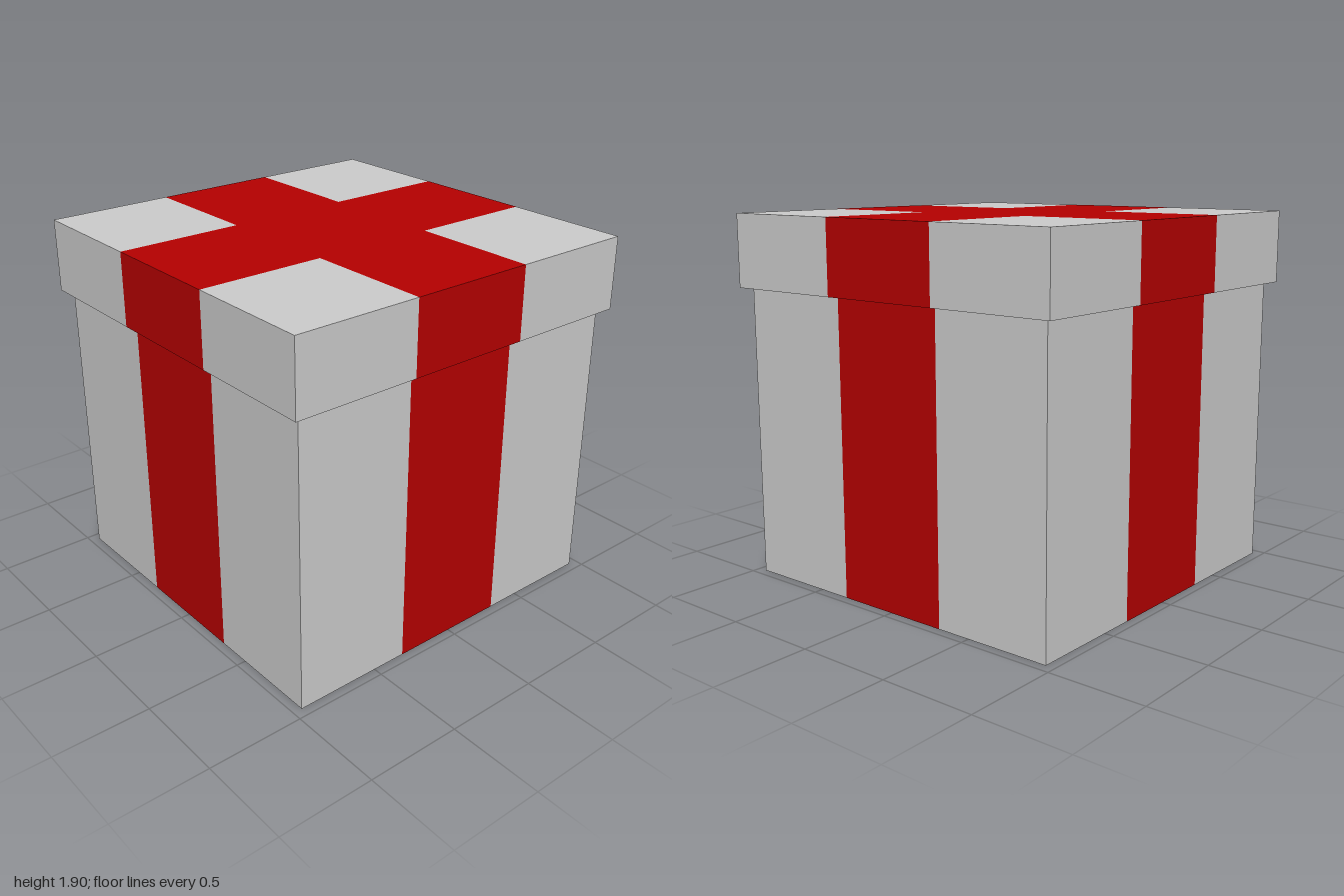
import * as THREE from 'three';

const paper = new THREE.MeshStandardMaterial({ color: 0xcccccc });
paper.name = 'greyPaper';
const ribbon = new THREE.MeshStandardMaterial({ color: 0xb50000 });
ribbon.name = 'redRibbon';

// Box split into equal thirds, with the middle third of each direction in ribbon colour
function wrappedBox(name, width, bottom, top, redUnderside) {
  const height = top - bottom;
  const geometry = new THREE.BoxGeometry(width, height, width, 3, 1, 3);
  const { position, normal } = geometry.attributes;
  const index = geometry.index;
  geometry.clearGroups();

  // One material group per rectangular cell (two triangles)
  for (let i = 0; i < index.count; i += 6) {
    let x = 0, z = 0;
    for (let k = 0; k < 6; k++) {
      x += position.getX(index.getX(i + k)) / 6;
      z += position.getZ(index.getX(i + k)) / 6;
    }
    const onBand = Math.min(Math.abs(x), Math.abs(z)) < width / 6;
    const underside = normal.getY(index.getX(i)) < -0.5;
    geometry.addGroup(i, 6, onBand || (underside && redUnderside) ? 1 : 0);
  }

  const mesh = new THREE.Mesh(geometry, [paper, ribbon]);
  mesh.name = name;
  mesh.position.y = bottom + height / 2;
  return mesh;
}

export function createModel() {
  const gift = new THREE.Group();
  gift.name = 'giftBox';
  gift.add(
    wrappedBox('box', 1.903, 0, 1.526, false),
    wrappedBox('lid', 2, 1.526, 1.905, true) // overhanging lid with red underside
  );
  return gift;
}
